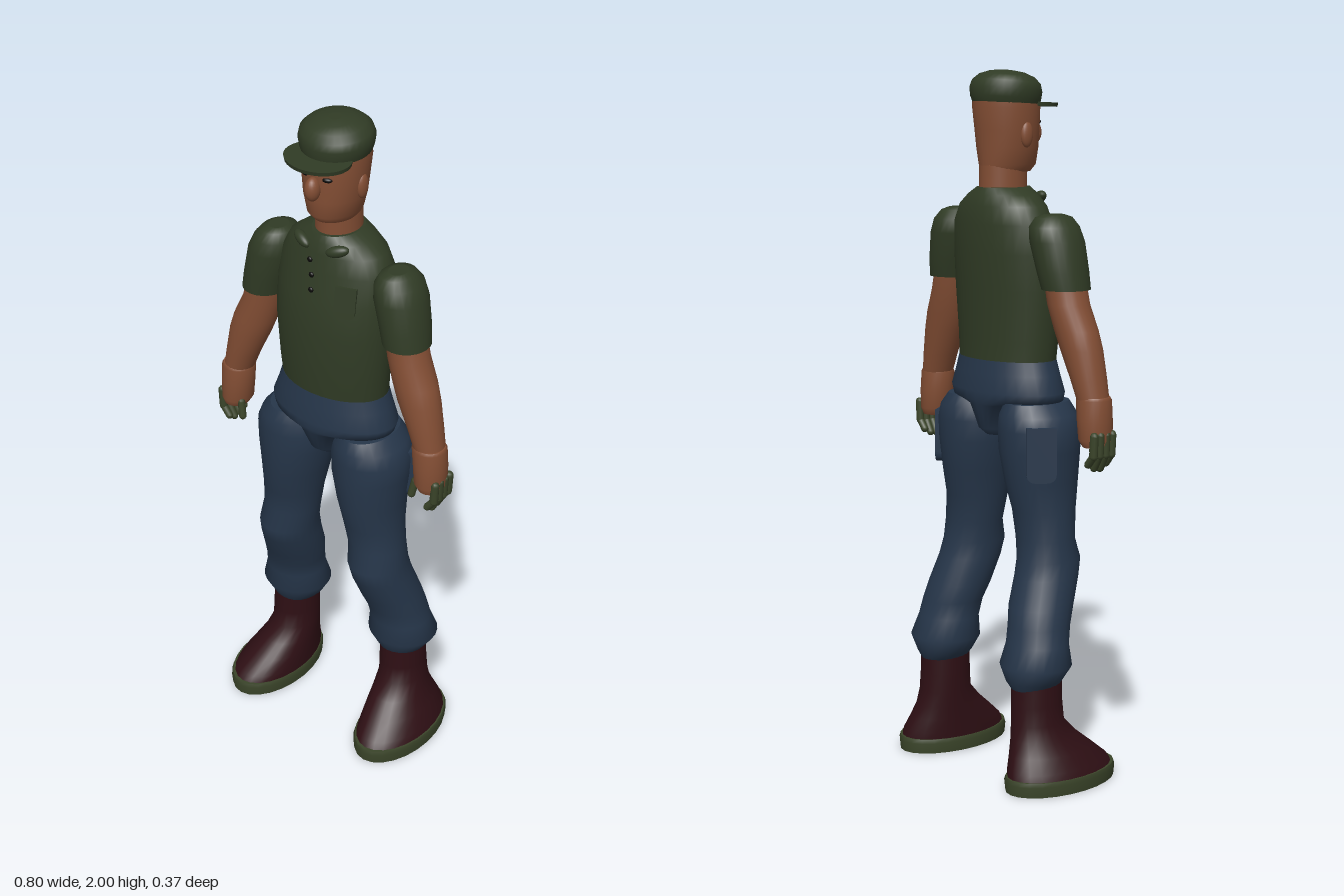
import * as THREE from 'three';

const mat = (name, color) => {
  const m = new THREE.MeshStandardMaterial({ color });
  m.name = name;
  return m;
};

// Capped loft; each ring is [y, xMin, xMax, zMin, zMax], listed bottom to top.
// side = -1 mirrors the part across x.
function loft(rings, side = 1, seg = 24) {
  const pos = [], idx = [];
  const addRing = ([y, x0, x1, z0, z1]) => {
    for (let i = 0; i < seg; i++) {
      const a = (i / seg) * Math.PI * 2;
      pos.push(side * (x0 + x1) / 2 + Math.cos(a) * (x1 - x0) / 2, y,
        (z0 + z1) / 2 + Math.sin(a) * (z1 - z0) / 2);
    }
  };
  rings.forEach(addRing);
  for (let r = 0; r < rings.length - 1; r++) {
    for (let i = 0; i < seg; i++) {
      const a = r * seg + i, b = r * seg + (i + 1) % seg;
      idx.push(a, a + seg, b, b, a + seg, b + seg);
    }
  }
  // separate cap vertices keep the rims sharp
  [rings[0], rings[rings.length - 1]].forEach((ring, top) => {
    const base = pos.length / 3;
    addRing(ring);
    pos.push(side * (ring[1] + ring[2]) / 2, ring[0], (ring[3] + ring[4]) / 2);
    for (let i = 0; i < seg; i++) {
      const a = base + i, b = base + (i + 1) % seg;
      idx.push(base + seg, top ? b : a, top ? a : b);
    }
  });
  const g = new THREE.BufferGeometry();
  g.setAttribute('position', new THREE.Float32BufferAttribute(pos, 3));
  g.setIndex(idx);
  g.computeVertexNormals();
  return g;
}

// Centred loft from [y, halfWidth, zMin, zMax]
const body = (rings) => loft(rings.map(([y, w, z0, z1]) => [y, -w, w, z0, z1]), 1, 32);

// Pocket plate with rounded lower corners
function pocketShape(w, h) {
  const s = new THREE.Shape(), r = w * 0.35;
  s.moveTo(-w / 2, h / 2);
  s.lineTo(-w / 2, -h / 2 + r);
  s.quadraticCurveTo(-w / 2, -h / 2, -w / 2 + r, -h / 2);
  s.lineTo(w / 2 - r, -h / 2);
  s.quadraticCurveTo(w / 2, -h / 2, w / 2, -h / 2 + r);
  s.lineTo(w / 2, h / 2);
  return s;
}
const pocket = (w, h, depth) =>
  new THREE.ExtrudeGeometry(pocketShape(w, h), { depth, bevelEnabled: false }).translate(0, 0, -depth);

export function createModel() {
  const model = new THREE.Group();
  const shirt = mat('olive shirt', 0x303b25);
  const skin = mat('skin', 0x834e34);
  const denim = mat('navy trousers', 0x26364a);
  const leather = mat('dark red leather', 0x2e0f14);
  const olive = mat('olive sole and glove', 0x3a4429);
  const black = mat('black', 0x0a0908);

  const add = (name, geo, material, parent = model) => {
    const m = new THREE.Mesh(geo, material);
    m.name = name;
    parent.add(m);
    return m;
  };
  const ball = (name, material, p, s, parent = model) => {
    const m = add(name, new THREE.SphereGeometry(1, 20, 14), material, parent);
    m.position.set(...p);
    m.scale.set(...s);
    return m;
  };
  // Tapered digit between two points
  const digit = (name, a, b, r, parent) => {
    const p = new THREE.Vector3(...a), q = new THREE.Vector3(...b);
    const m = add(name, new THREE.CapsuleGeometry(r, p.distanceTo(q), 4, 10), olive, parent);
    m.position.copy(p).add(q).multiplyScalar(0.5);
    m.quaternion.setFromUnitVectors(new THREE.Vector3(0, 1, 0), q.sub(p).normalize());
  };

  // Torso and hips
  add('shirtBody', body([
    [1.18, 0.168, -0.1, 0.118], [1.26, 0.174, -0.1, 0.125], [1.4, 0.185, -0.106, 0.13],
    [1.5, 0.184, -0.11, 0.118], [1.58, 0.177, -0.11, 0.1], [1.63, 0.15, -0.105, 0.092],
    [1.66, 0.11, -0.095, 0.084], [1.68, 0.068, -0.085, 0.075],
  ]), shirt);
  add('hips', body([
    [0.98, 0.045, -0.06, 0.075], [1.0, 0.06, -0.085, 0.1], [1.07, 0.095, -0.105, 0.128],
    [1.085, 0.195, -0.109, 0.133], [1.11, 0.203, -0.112, 0.134], [1.16, 0.183, -0.106, 0.127],
    [1.2, 0.17, -0.1, 0.12],
  ]), denim);

  // Collar, buttons and chest pocket
  for (const s of [-1, 1]) {
    const flap = ball('collarFlap', shirt, [s * 0.06, 1.65, 0.078], [0.034, 0.016, 0.016]);
    flap.rotation.set(0, s * 0.35, s * 0.3);
  }
  [[1.625, 0.12], [1.575, 0.114], [1.53, 0.117]].forEach(([y, z]) =>
    ball('button', black, [0, y, z], [0.008, 0.008, 0.005]));
  const chest = add('chestPocket', pocket(0.06, 0.09, 0.012), shirt);
  chest.position.set(0.102, 1.515, 0.1);
  chest.rotation.set(-0.12, 0.37, 0);

  // Neck, head and face
  add('neck', body([[1.64, 0.062, -0.078, 0.064], [1.74, 0.06, -0.078, 0.066]]), skin);
  add('head', body([
    [1.722, 0.058, -0.074, 0.08], [1.742, 0.07, -0.077, 0.096], [1.79, 0.084, -0.08, 0.099],
    [1.84, 0.09, -0.084, 0.1], [1.9, 0.096, -0.09, 0.1], [1.94, 0.094, -0.088, 0.094],
  ]), skin);
  ball('nose', skin, [0, 1.828, 0.106], [0.021, 0.034, 0.024]);
  for (const s of [-1, 1]) {
    ball('ear', skin, [s * 0.087, 1.826, 0.006], [0.013, 0.036, 0.02]);
    ball('eye', black, [s * 0.037, 1.859, 0.09], [0.014, 0.007, 0.008]).rotation.y = s * 0.4;
  }

  // Cap, tipped slightly forward
  const cap = new THREE.Group();
  cap.name = 'cap';
  cap.position.y = 1.912;
  cap.rotation.x = 0.1;
  model.add(cap);
  add('capCrown', body([
    [-0.004, 0.094, -0.09, 0.098], [0.012, 0.1, -0.097, 0.1], [0.036, 0.105, -0.1, 0.1],
    [0.057, 0.099, -0.094, 0.094], [0.074, 0.08, -0.076, 0.077], [0.085, 0.05, -0.048, 0.05],
    [0.089, 0.018, -0.017, 0.019],
  ]), shirt, cap);
  const brim = add('capBrim', loft([
    [-0.006, -0.096, 0.096, 0.008, 0.158], [0.005, -0.098, 0.098, 0.006, 0.16],
  ], 1, 32), shirt, cap);
  brim.rotation.x = -0.05;

  for (const s of [-1, 1]) {
    const side = s > 0 ? 'left' : 'right';
    // Arm: sleeve, bare arm, wrist and hand
    const arm = new THREE.Group();
    arm.name = side + 'Arm';
    model.add(arm);
    add('sleeve', loft([
      [1.41, 0.18, 0.312, -0.058, 0.082], [1.46, 0.168, 0.305, -0.068, 0.084],
      [1.54, 0.145, 0.291, -0.076, 0.083], [1.58, 0.145, 0.272, -0.074, 0.076],
      [1.605, 0.16, 0.25, -0.055, 0.058], [1.613, 0.18, 0.232, -0.03, 0.033],
    ], s), shirt, arm);
    add('bareArm', loft([
      [1.1, 0.303, 0.388, -0.017, 0.072], [1.17, 0.275, 0.376, -0.026, 0.076],
      [1.25, 0.236, 0.362, -0.034, 0.078], [1.3, 0.216, 0.347, -0.039, 0.076],
      [1.37, 0.196, 0.314, -0.046, 0.073], [1.44, 0.185, 0.295, -0.048, 0.072],
    ], s), skin, arm);
    add('wrist', loft([
      [0.985, 0.318, 0.388, -0.01, 0.07], [1.005, 0.305, 0.395, -0.02, 0.079],
      [1.06, 0.299, 0.396, -0.022, 0.079], [1.115, 0.293, 0.393, -0.02, 0.078],
      [1.123, 0.3, 0.388, -0.016, 0.073],
    ], s), skin, arm);
    for (let i = 0; i < 4; i++) {
      const z = -0.008 + i * 0.022, tip = [0.94, 0.928, 0.925, 0.938][i];
      digit('fingerBase', [s * 0.386, 1.02, z], [s * 0.383, 0.965, z], 0.012, arm);
      digit('fingerTip', [s * 0.383, 0.965, z], [s * 0.362, tip, z], 0.011, arm);
    }
    digit('thumb', [s * 0.316, 1.005, 0.055], [s * 0.308, 0.96, 0.06], 0.011, arm);

    // Leg: trouser leg, side pocket, boot and sole
    const leg = new THREE.Group();
    leg.name = side + 'Leg';
    model.add(leg);
    add('trouserLeg', loft([
      [0.285, 0.145, 0.265, -0.135, 0.01], [0.305, 0.125, 0.28, -0.145, 0.02],
      [0.35, 0.098, 0.31, -0.158, 0.042], [0.41, 0.108, 0.292, -0.135, 0.038],
      [0.46, 0.104, 0.283, -0.125, 0.05], [0.51, 0.09, 0.275, -0.112, 0.07],
      [0.59, 0.084, 0.258, -0.085, 0.104], [0.64, 0.08, 0.252, -0.072, 0.116],
      [0.7, 0.072, 0.245, -0.066, 0.098], [0.78, 0.058, 0.238, -0.072, 0.11],
      [0.86, 0.042, 0.237, -0.092, 0.126], [0.95, 0.022, 0.247, -0.104, 0.132],
      [1.01, 0.018, 0.25, -0.106, 0.132], [1.05, 0.03, 0.232, -0.105, 0.13],
      [1.085, 0.05, 0.2, -0.09, 0.115],
    ], s), denim, leg);
    const pouch = add('sidePocket', pocket(0.085, 0.155, 0.03), denim, leg);
    pouch.position.set(s * 0.229, 0.95, -0.06);
    pouch.rotation.y = s * 2.21;
    add('boot', loft([
      [0.035, 0.14, 0.348, -0.178, 0.178], [0.06, 0.14, 0.338, -0.174, 0.162],
      [0.1, 0.14, 0.315, -0.158, 0.115], [0.14, 0.14, 0.293, -0.144, 0.066],
      [0.185, 0.14, 0.28, -0.136, 0.024], [0.24, 0.14, 0.275, -0.134, 0.02],
      [0.33, 0.14, 0.273, -0.132, 0.018],
    ], s), leather, leg);
    add('sole', loft([
      [0, 0.137, 0.35, -0.184, 0.184], [0.03, 0.134, 0.353, -0.187, 0.187],
      [0.042, 0.138, 0.35, -0.183, 0.183],
    ], s), olive, leg);
  }
  return model;
}
